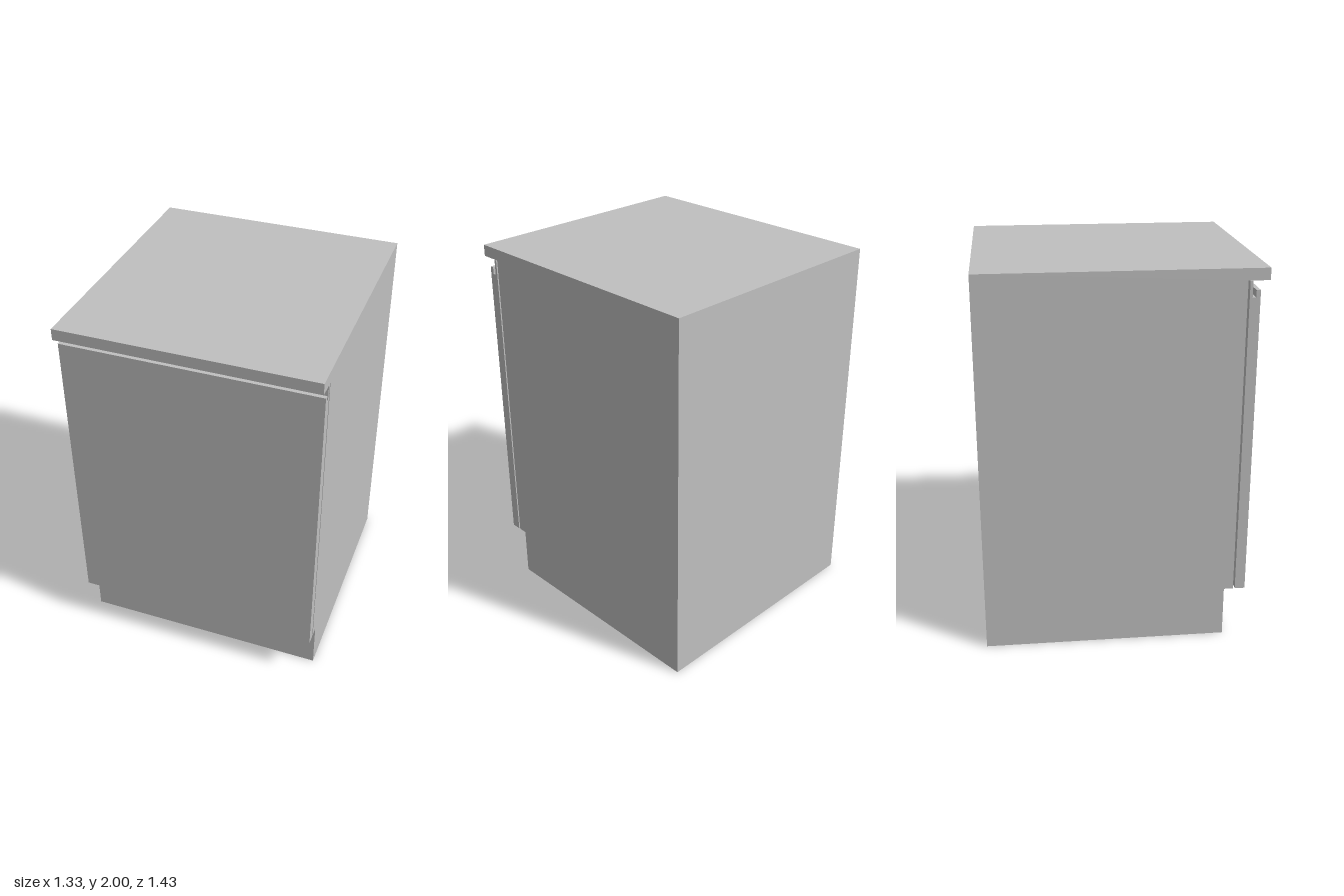
import * as THREE from 'three';

const HALF_WIDTH = 0.665;

// Side profiles as [z, y], clockwise seen from +x
const BODY = [
  [0.556, 0], [0.556, 0.27], [0.605, 0.27], [0.605, 1.94],
  [0.713, 1.94], [0.713, 2], [-0.713, 2], [-0.713, 0],
];
const DOOR = [
  [0.668, 0.27], [0.668, 1.893], [0.647, 1.893], [0.647, 1.857],
  [0.629, 1.857], [0.629, 1.938], [0.615, 1.938], [0.615, 0.27],
];

// Shape in the xy plane, with z laid along sign * x
function profileShape(profile, sign) {
  return new THREE.Shape(profile.map(([z, y]) => new THREE.Vector2(sign * z, y)));
}

// One flat panel across the full width between two profile points
function panelGeometry([z0, y0], [z1, y1]) {
  const w = HALF_WIDTH;
  const g = new THREE.BufferGeometry();
  g.setAttribute('position', new THREE.Float32BufferAttribute(
    [-w, y0, z0, w, y0, z0, w, y1, z1, -w, y1, z1], 3));
  g.setIndex([0, 1, 2, 0, 2, 3]);
  g.computeVertexNormals();
  return g;
}

export function createModel() {
  const model = new THREE.Group();
  model.name = 'baseCabinet';
  const grey = new THREE.MeshStandardMaterial({ color: 0xc0c0c0, side: THREE.DoubleSide });
  grey.name = 'cabinetGrey';

  const add = (parent, name, geometry) => {
    const mesh = new THREE.Mesh(geometry, grey);
    mesh.name = name;
    parent.add(mesh);
    return mesh;
  };

  // Thin-walled carcass with worktop lip and recessed plinth, open underneath
  const carcass = new THREE.Group();
  carcass.name = 'carcass';
  model.add(carcass);
  const names = ['plinthFront', 'plinthLedge', 'carcassFront', 'worktopUnderside',
    'worktopEdge', 'worktop', 'backPanel'];
  names.forEach((name, i) => add(carcass, name, panelGeometry(BODY[i], BODY[i + 1])));

  // Side panels
  for (const side of [1, -1]) {
    const g = new THREE.ShapeGeometry(profileShape(BODY, -side));
    g.rotateY(side * Math.PI / 2).translate(side * HALF_WIDTH, 0, 0);
    add(carcass, side > 0 ? 'leftSide' : 'rightSide', g);
  }

  // Door with a grip channel along its top edge
  const door = new THREE.ExtrudeGeometry(profileShape(DOOR, -1),
    { depth: 2 * HALF_WIDTH, bevelEnabled: false });
  door.rotateY(Math.PI / 2).translate(-HALF_WIDTH, 0, 0);
  add(model, 'door', door);

  return model;
}
